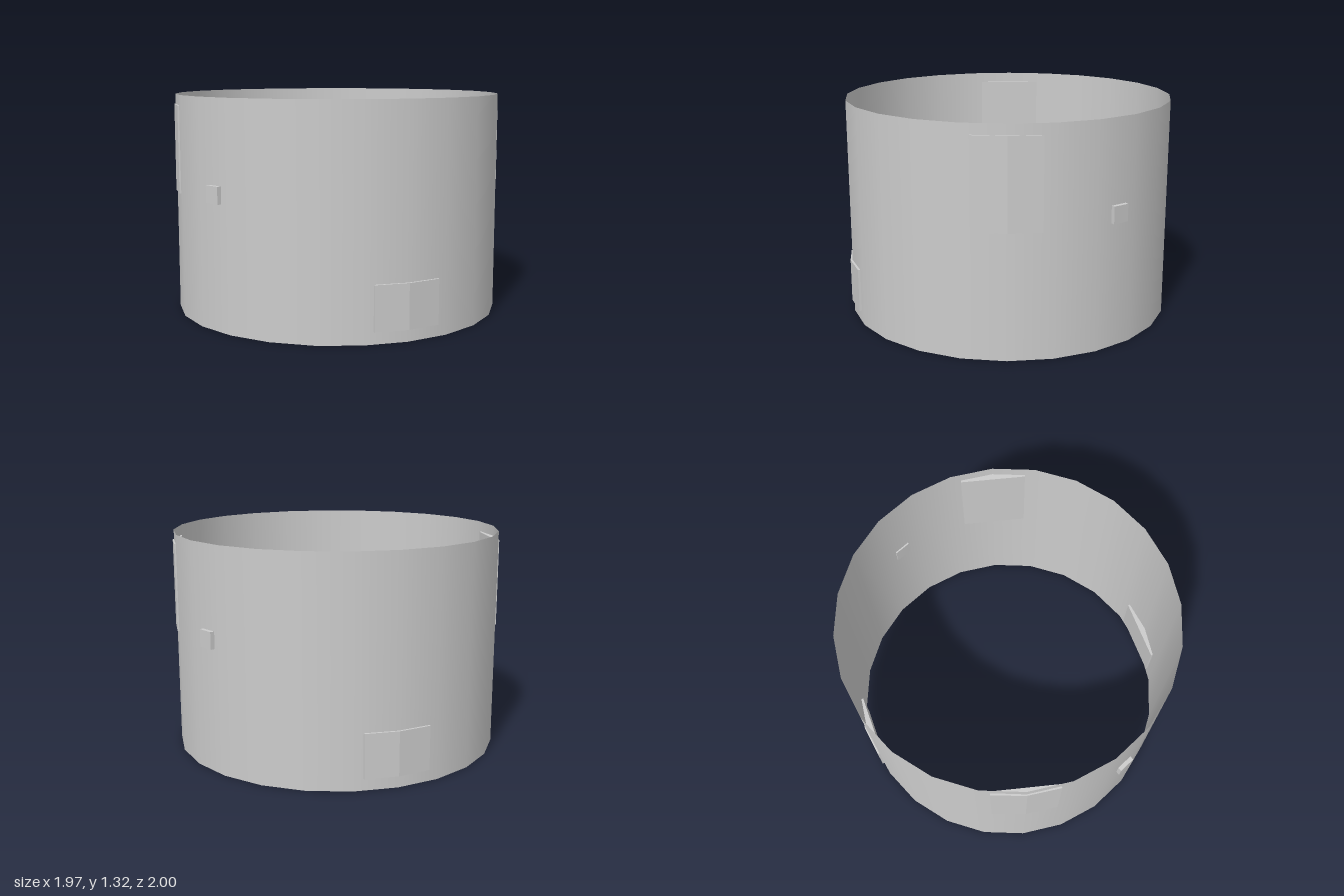
import * as THREE from 'three';

const grey = new THREE.MeshStandardMaterial({ color: 0xcccccc });
const shellGrey = new THREE.MeshStandardMaterial({ color: 0xcccccc, side: THREE.DoubleSide });

// Upright prism from a plan outline of [x, z] points, between two heights
function prism(name, outline, bottom, top) {
  const shape = new THREE.Shape(outline.map(([x, z]) => new THREE.Vector2(x, -z)));
  const geometry = new THREE.ExtrudeGeometry(shape, { depth: top - bottom, bevelEnabled: false });
  geometry.rotateX(-Math.PI / 2).translate(0, bottom, 0);
  const mesh = new THREE.Mesh(geometry, grey);
  mesh.name = name;
  return mesh;
}

export function createModel() {
  const model = new THREE.Group();
  model.name = 'ringWall';

  // Thin open wall with 24 sides
  const height = 1.315;
  const wall = new THREE.Mesh(
    new THREE.CylinderGeometry(0.985, 0.985, height, 24, 1, true).translate(0, height / 2, 0),
    shellGrey
  );
  wall.name = 'wall';
  model.add(wall);

  // Bent plates and small blocks, repeated half a turn around the wall
  for (const side of ['A', 'B']) {
    const set = new THREE.Group();
    set.name = 'fittings' + side;
    set.add(
      prism('lowerPlate',
        [[-0.195, 0.947], [0.195, 0.947], [0.195, 0.973], [0, 0.998], [-0.195, 0.973]], 0.07, 0.33),
      prism('upperPlate',
        [[0.965, 0.058], [0.987, 0.064], [0.96, 0.253], [0.889, 0.44], [0.867, 0.434]], 0.73, 1.253),
      prism('smallBlock',
        [[0.868, -0.434], [0.9, -0.444], [0.938, -0.35], [0.906, -0.339]], 0.73, 0.83)
    );
    set.rotation.y = side === 'A' ? 0 : Math.PI;
    model.add(set);
  }
  return model;
}
